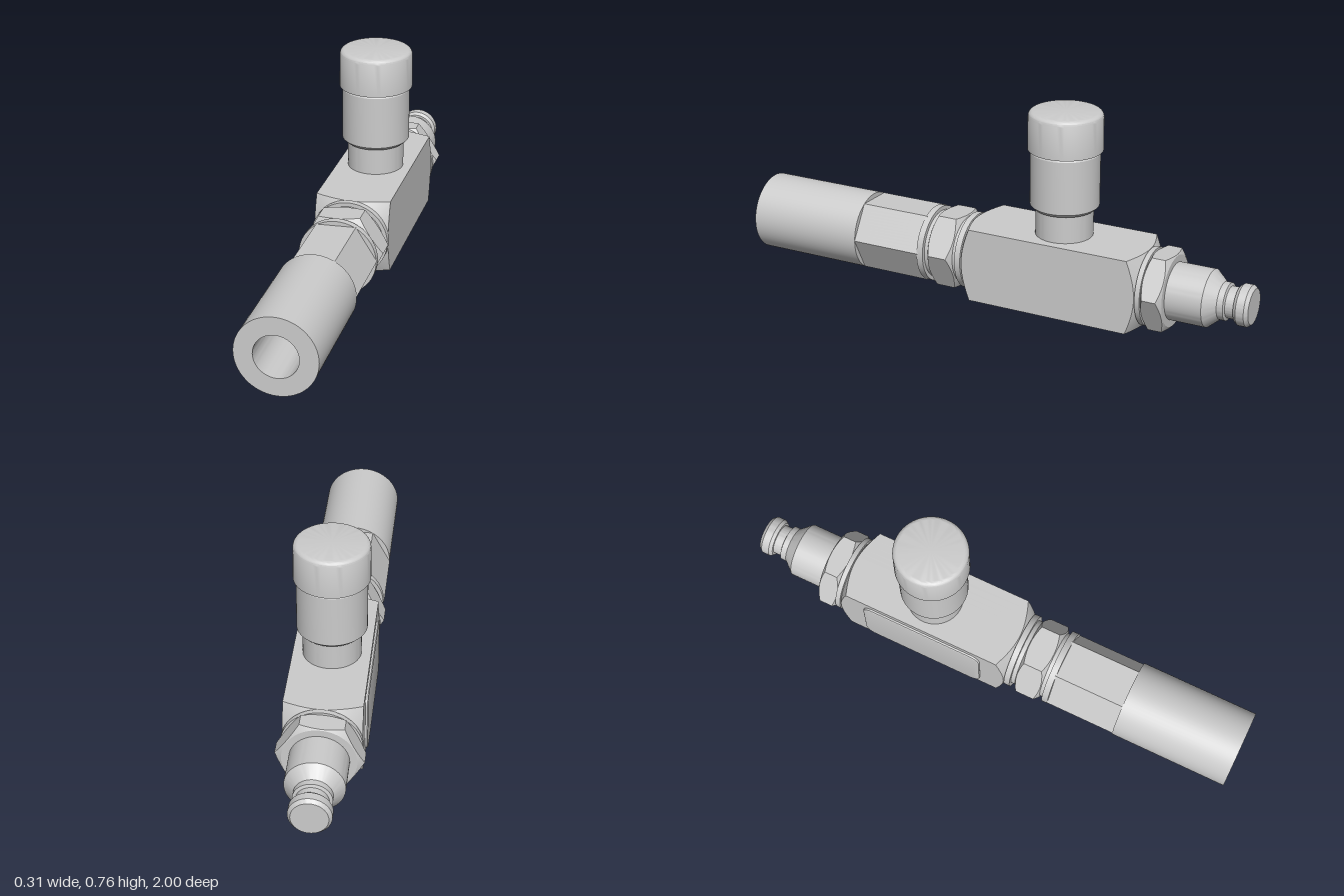
import * as THREE from 'three';
import { toCreasedNormals } from 'three/addons/utils/BufferGeometryUtils.js';

const AXIS_Y = 0.16;
const material = new THREE.MeshStandardMaterial({ color: 0xcccccc });

function part(name, geometry, crease = 0.4) {
  const mesh = new THREE.Mesh(toCreasedNormals(geometry, crease), material);
  mesh.name = name;
  return mesh;
}

// Turned part: profile of [radius, height], listed from bottom to top
function turned(profile) {
  return new THREE.LatheGeometry(profile.map(([r, h]) => new THREE.Vector2(r, h)), 64);
}

// Turned part lying along z, on the main axis
function turnedAlongZ(profile) {
  return turned(profile).rotateX(Math.PI / 2).translate(0, AXIS_Y, 0);
}

// Regular prism along z whose corners are cut by a cone at both ends
function chamferedPrism(sides, apothem, z0, z1, faceRadius, slope, turn) {
  const steps = 12, count = sides * steps;
  const positions = [], index = [];
  const rows = 6;
  for (let i = 0; i < count; i++) {
    const local = (i % steps) / steps * 2 * Math.PI / sides - Math.PI / sides;
    const angle = i / count * 2 * Math.PI + turn;
    const r = apothem / Math.cos(local);
    const cut = slope * Math.max(0, r - faceRadius);
    const section = [[0, z0], [faceRadius, z0], [r, z0 + cut], [r, z1 - cut], [faceRadius, z1], [0, z1]];
    for (const [radius, z] of section) {
      positions.push(radius * Math.cos(angle), AXIS_Y + radius * Math.sin(angle), z);
    }
  }
  for (let i = 0; i < count; i++) {
    const a = i * rows, b = ((i + 1) % count) * rows;
    for (let j = 0; j < rows - 1; j++) {
      if (j > 0) index.push(a + j, b + j, a + j + 1);
      if (j < rows - 2) index.push(b + j, b + j + 1, a + j + 1);
      else index.pop(), index.pop(), index.pop(), index.push(a + j, b + j, a + j + 1);
    }
  }
  const geometry = new THREE.BufferGeometry();
  geometry.setAttribute('position', new THREE.Float32BufferAttribute(positions, 3));
  geometry.setIndex(index);
  geometry.computeVertexNormals();
  return geometry;
}

// Raised plate with rounded corners on the -x side
function sidePlate() {
  const w = 0.235, h = 0.112, r = 0.03;
  const shape = new THREE.Shape();
  shape.moveTo(-w + r, -h);
  shape.lineTo(w - r, -h).absarc(w - r, -h + r, r, -Math.PI / 2, 0);
  shape.lineTo(w, h - r).absarc(w - r, h - r, r, 0, Math.PI / 2);
  shape.lineTo(-w + r, h).absarc(-w + r, h - r, r, Math.PI / 2, Math.PI);
  shape.lineTo(-w, -h + r).absarc(-w + r, -h + r, r, Math.PI, Math.PI * 1.5);
  const geometry = new THREE.ExtrudeGeometry(shape, {
    depth: 0.012, bevelEnabled: true, bevelThickness: 0.006, bevelSize: 0.009,
    bevelOffset: 0, bevelSegments: 3, curveSegments: 8,
  });
  return geometry.rotateY(-Math.PI / 2).translate(-0.133, 0.157, -0.255);
}

export function createModel() {
  const model = new THREE.Group();
  const deg = Math.PI / 180;
  const nutTurn = 3.7 * deg;

  // Square valve body with coned ends
  model.add(part('body', chamferedPrism(4, 0.141, -0.605, 0.09, 0.138, 0.55, -45 * deg)));
  model.add(part('sidePlate', sidePlate()));

  // Upright adjusting knob
  const knob = new THREE.Group();
  knob.name = 'knob';
  knob.position.z = -0.265;
  knob.add(part('knobStem', turned([[0, 0.28], [0.106, 0.28], [0.106, 0.42], [0, 0.42]])));
  knob.add(part('knobSleeve', turned([[0, 0.405], [0.114, 0.405], [0.127, 0.418],
    [0.127, 0.617], [0.122, 0.628], [0, 0.628]])));
  const capProfile = [[0, 0.627], [0.137, 0.627], [0.136, 0.75]];
  for (let i = 1; i <= 6; i++) {
    const a = i / 6 * Math.PI / 2;
    capProfile.push([0.116 + 0.02 * Math.cos(a), 0.75 + 0.02 * Math.sin(a)]);
  }
  capProfile.push([0, 0.77]);
  knob.add(part('knobCap', turned(capProfile)));
  model.add(knob);

  // Front connection: washers, lock nut, hexagonal shank and bored sleeve
  model.add(part('frontWashers', turnedAlongZ([[0, 0.08], [0.13, 0.08], [0.13, 0.092], [0.145, 0.092],
    [0.145, 0.115], [0.13, 0.115], [0.13, 0.25], [0.145, 0.25], [0.145, 0.275], [0, 0.275]])));
  model.add(part('frontNut', chamferedPrism(6, 0.136, 0.132, 0.235, 0.132, 0.6, nutTurn - 30 * deg + 30 * deg)));
  model.add(part('hexShank', chamferedPrism(6, 0.128, 0.27, 0.546, 0.127, 0, 2 * deg)));
  model.add(part('frontSleeve', turnedAlongZ([[0, 0.545], [0.147, 0.545], [0.147, 1],
    [0.08, 1], [0.08, 0.56], [0, 0.56]])));

  // Rear connection: washer, nut and grooved plug
  model.add(part('rearWasher', turnedAlongZ([[0, -0.626], [0.145, -0.626], [0.145, -0.607],
    [0.135, -0.607], [0.135, -0.595], [0, -0.595]])));
  model.add(part('rearNut', chamferedPrism(6, 0.136, -0.705, -0.624, 0.132, 0.6, nutTurn)));
  model.add(part('rearPlug', turnedAlongZ([[0, -1], [0.065, -1], [0.076, -0.987], [0.076, -0.957],
    [0.067, -0.945], [0.058, -0.945], [0.058, -0.912], [0.069, -0.908], [0.069, -0.885],
    [0.106, -0.842], [0.106, -0.70], [0, -0.70]])));

  return model;
}
